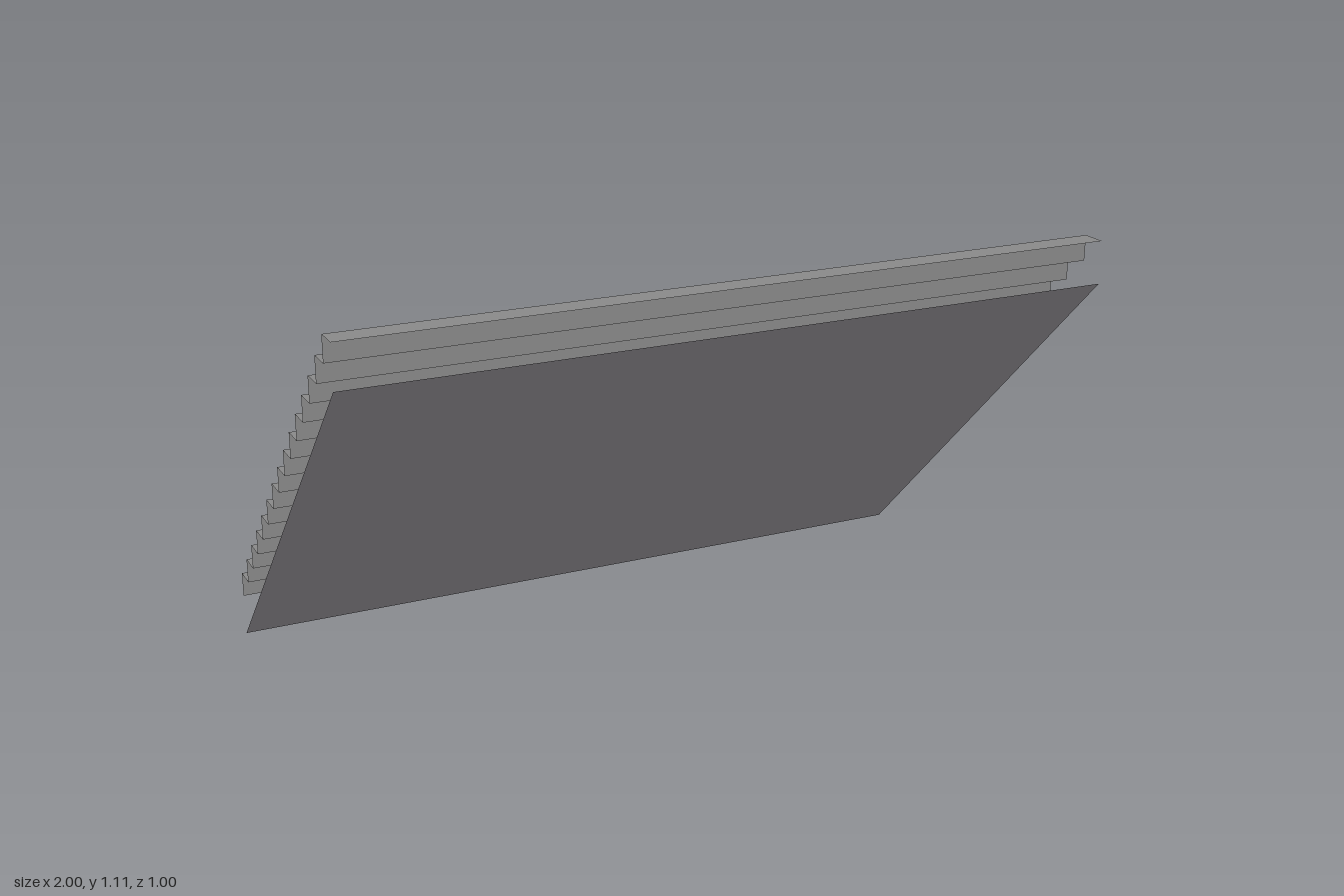
import * as THREE from 'three';

const WIDTH = 2, COUNT = 15, STEP = 1 / COUNT, LIFT = 1 / 9;

export function createModel() {
  const model = new THREE.Group();
  model.name = 'stairs';
  const stepGrey = new THREE.MeshStandardMaterial({ color: 0x888888, side: THREE.DoubleSide });
  stepGrey.name = 'step grey';
  const rampGrey = new THREE.MeshStandardMaterial({ color: 0x918f94, side: THREE.DoubleSide });
  rampGrey.name = 'ramp grey';

  // Thin open sheet of the given depth, centred at (0, y, z)
  function addSheet(name, depth, material, tilt, y, z) {
    const mesh = new THREE.Mesh(new THREE.PlaneGeometry(WIDTH, depth), material);
    mesh.name = name;
    mesh.rotation.set(...tilt);
    mesh.position.set(0, y, z);
    model.add(mesh);
  }

  // Steps climb from the back towards the front
  for (let i = 0; i < COUNT; i++) {
    const z = -0.5 + i * STEP;
    const y = LIFT + i * STEP;
    addSheet('riser', STEP, stepGrey, [0, Math.PI, 0], y + STEP / 2, z);
    addSheet('tread', STEP, stepGrey, [-Math.PI / 2, 0, 0], y + STEP, z + STEP / 2);
  }

  // Sloping sheet beneath the steps, facing up and back
  addSheet('ramp', Math.SQRT2, rampGrey, [-Math.PI * 0.75, 0, 0], 0.5, 0);

  return model;
}
